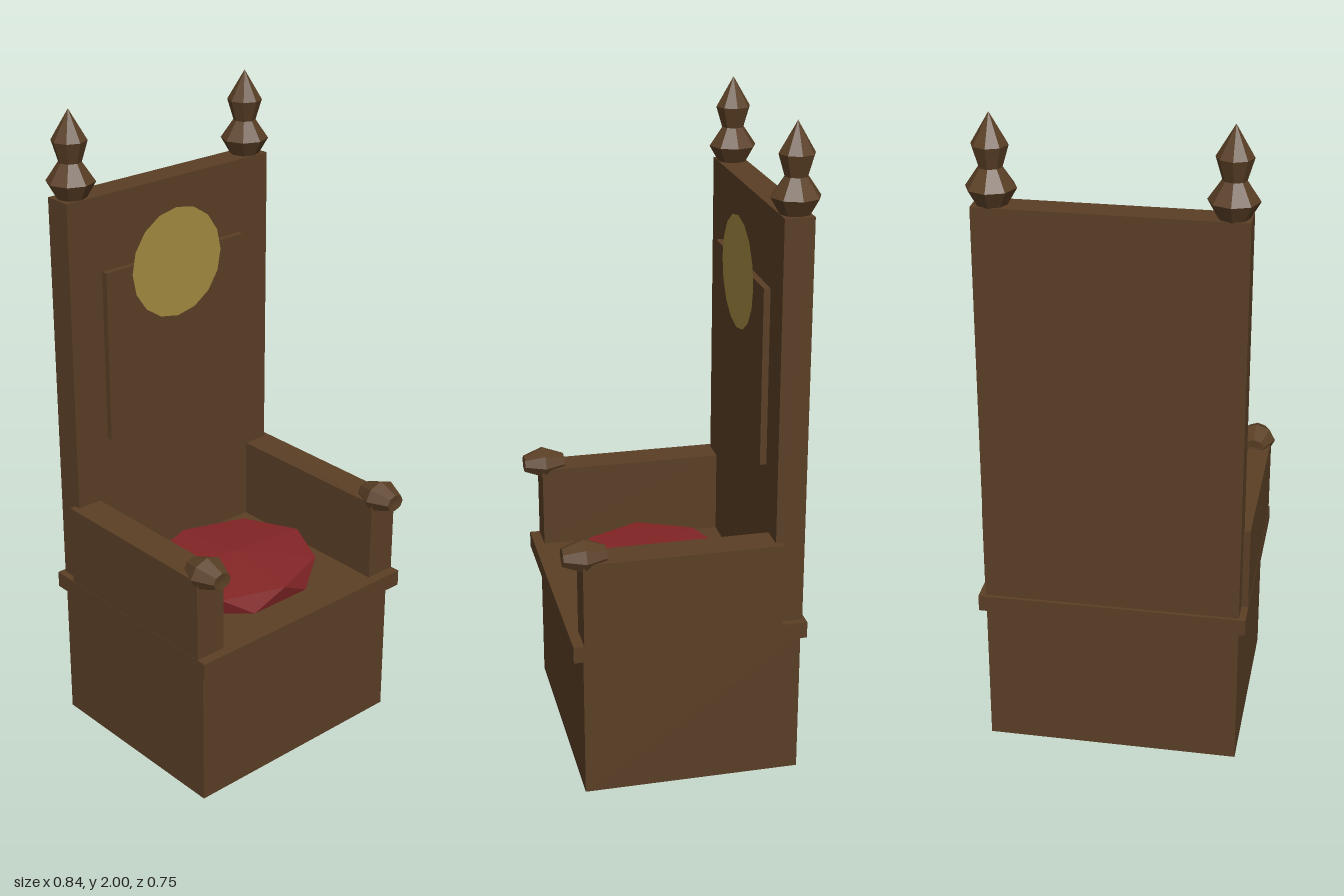
import * as THREE from 'three';

export function createModel() {
  const throne = new THREE.Group();
  throne.name = 'throne';

  const mat = (name, color, side = THREE.FrontSide) => {
    const m = new THREE.MeshStandardMaterial({ color, side, flatShading: true });
    m.name = name;
    return m;
  };
  const wood = mat('darkWood', 0x5a3f25);
  const red = mat('redCloth', 0x842527);
  const gold = mat('gold', 0xa58b40, THREE.DoubleSide);

  const add = (name, geometry, material) => {
    const mesh = new THREE.Mesh(geometry, material);
    mesh.name = name;
    throne.add(mesh);
    return mesh;
  };
  // Box given by its lower and upper corners
  const box = (name, [x0, y0, z0], [x1, y1, z1]) =>
    add(name, new THREE.BoxGeometry(x1 - x0, y1 - y0, z1 - z0), wood)
      .position.set((x0 + x1) / 2, (y0 + y1) / 2, (z0 + z1) / 2);
  const lathe = (points) =>
    new THREE.LatheGeometry(points.map(([r, y]) => new THREE.Vector2(r, y)), 8);

  // Seat block, overhanging slab, tall back and its raised panel
  box('base', [-0.385, 0, -0.34], [0.385, 0.46, 0.322]);
  box('seatSlab', [-0.406, 0.456, -0.354], [0.406, 0.507, 0.354]);
  box('backrest', [-0.385, 0.505, -0.344], [0.385, 1.742, -0.256]);
  box('backPanel', [-0.267, 0.97, -0.257], [0.267, 1.51, -0.236]);

  // Flat medallion overlapping the top of the panel
  add('medallion', new THREE.CircleGeometry(0.173, 16), gold)
    .position.set(0, 1.483, -0.232);

  // Arms, arm knobs and back finials
  const finial = lathe([[0, 0], [0.044, 0], [0.073, 0.05], [0.034, 0.107], [0.053, 0.17], [0, 0.26]]);
  const knob = lathe([[0, -0.06], [0.033, -0.064], [0.063, 0], [0.033, 0.064], [0, 0.06]]);
  knob.rotateX(Math.PI / 2);
  knob.scale(1, 0.8, 1);
  for (const [label, s] of [['left', 1], ['right', -1]]) {
    box(label + 'Arm', [s * 0.355 - 0.05, 0.505, -0.276], [s * 0.355 + 0.05, 0.767, 0.322]);
    add(label + 'ArmKnob', knob, wood).position.set(s * 0.355, 0.775, 0.31);
    add(label + 'Finial', finial, wood).position.set(s * 0.333, 1.74, -0.302);
  }

  // Cushion: twisted octagon sides with a shallow domed top
  const ring = (i, y, twist) => {
    const a = (i + twist) * Math.PI / 4;
    return [0.28 * Math.cos(a), y, -0.24 * Math.sin(a)];
  };
  const pos = [];
  for (let i = 0; i < 8; i++) {
    const t0 = ring(i, 0.565, 0), t1 = ring(i + 1, 0.565, 0);
    const b0 = ring(i, 0.506, 0.5), b1 = ring(i + 1, 0.506, 0.5);
    pos.push(...t0, ...t1, 0, 0.59, 0); // top
    pos.push(...t0, ...b0, ...t1); // sides
    pos.push(...b0, ...b1, ...t1);
    pos.push(...b1, ...b0, 0, 0.506, 0); // underside
  }
  const cushion = new THREE.BufferGeometry();
  cushion.setAttribute('position', new THREE.Float32BufferAttribute(pos, 3));
  cushion.computeVertexNormals();
  add('cushion', cushion, red).position.z = 0.02;

  return throne;
}
